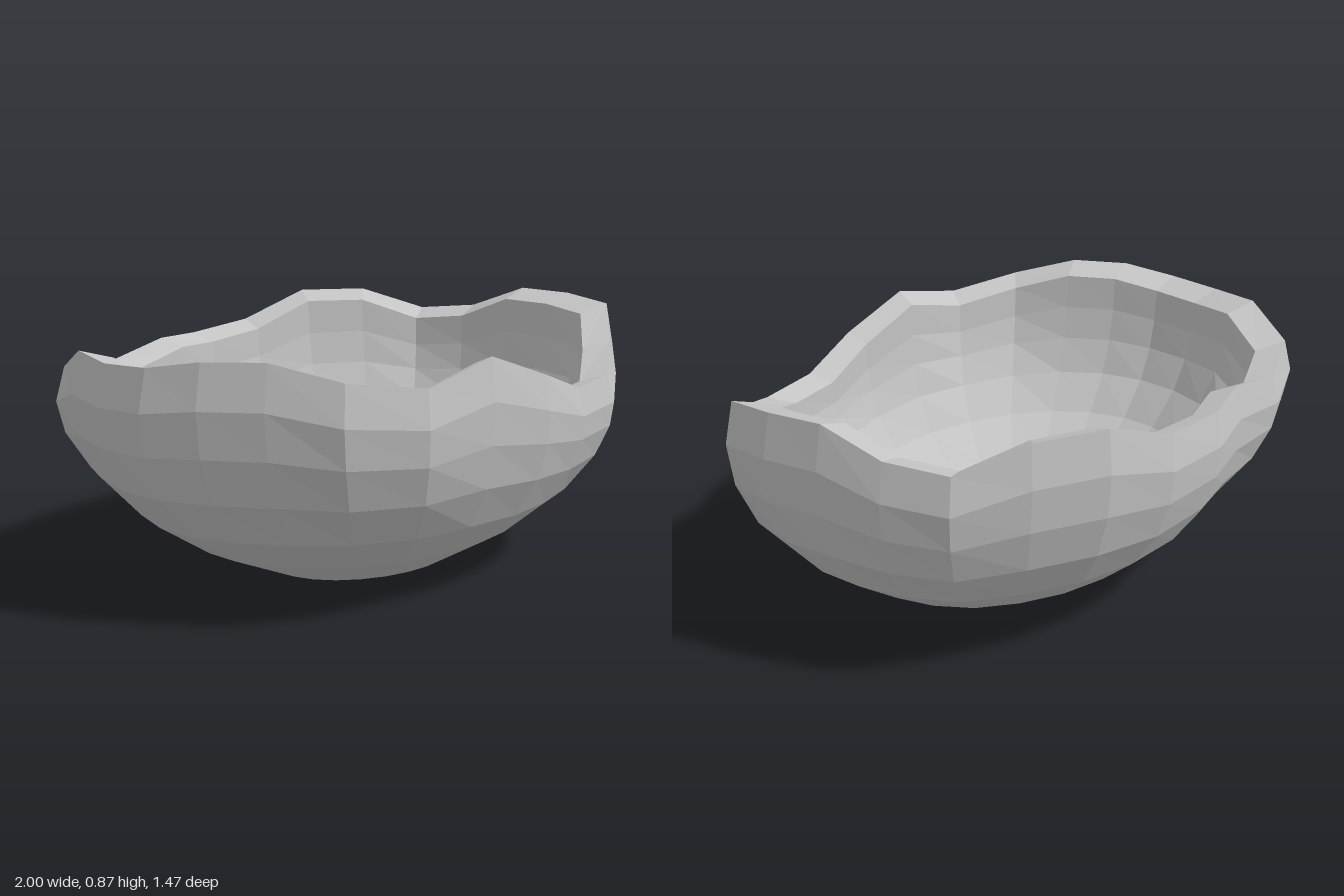
import * as THREE from 'three';

// Plan outline and rim height around the bowl: [x, z, rimY]
const OUTLINE = [
  [0.98, 0.01, 0.865], [1.0, 0.2, 0.845], [0.86, 0.36, 0.74], [0.69, 0.52, 0.665],
  [0.46, 0.61, 0.66], [0.24, 0.68, 0.74], [-0.02, 0.71, 0.83], [-0.29, 0.73, 0.765],
  [-0.55, 0.66, 0.8], [-0.72, 0.5, 0.855], [-0.86, 0.35, 0.85], [-0.96, 0.19, 0.82],
  [-1.0, 0.0, 0.81], [-0.99, -0.2, 0.82], [-0.95, -0.4, 0.735], [-0.74, -0.53, 0.7],
  [-0.47, -0.6, 0.755], [-0.28, -0.69, 0.745], [-0.02, -0.74, 0.765], [0.24, -0.73, 0.855],
  [0.48, -0.65, 0.85], [0.7, -0.54, 0.77], [0.82, -0.36, 0.79], [0.91, -0.17, 0.87],
];

// Rings: [scale, height, how far it follows the rim height, how far it follows the outline]
const OUTER = [
  [0, 0, 0, 0], [0.36, 0.02, 0, 0], [0.64, 0.14, 0, 0.2], [0.82, 0.26, 0.1, 0.4],
  [0.935, 0.4, 0.3, 0.7], [0.988, 0.54, 0.6, 0.9], [1, 0.67, 0.9, 1], [0.97, 0.8, 1, 1],
];
const INNER = [
  [0.86, 0.77, 1, 1], [0.855, 0.66, 0.9, 0.9], [0.835, 0.56, 0.6, 0.75], [0.79, 0.45, 0.3, 0.45],
  [0.69, 0.33, 0.1, 0.2], [0.53, 0.22, 0, 0.1], [0.3, 0.13, 0, 0], [0, 0.115, 0, 0],
];

// Skin a sequence of rings that blend from a smooth ellipse to the uneven outline
function skin(rings) {
  const n = OUTLINE.length;
  const positions = [];
  const index = [];
  for (const [scale, y, follow, uneven] of rings) {
    OUTLINE.forEach(([x, z, rimY], i) => {
      const angle = (i / n) * Math.PI * 2;
      positions.push(
        scale * THREE.MathUtils.lerp(0.97 * Math.cos(angle) + 0.01, x, uneven),
        y * (1 + (rimY / 0.8 - 1) * follow),
        scale * THREE.MathUtils.lerp(0.71 * Math.sin(angle), z, uneven),
      );
    });
  }
  for (let k = 0; k < rings.length - 1; k++) {
    for (let i = 0; i < n; i++) {
      const j = (i + 1) % n;
      const a = k * n + i, b = k * n + j;
      const c = a + n, d = b + n;
      // No collapsed triangles at a centre
      if (rings[k][0] > 0) index.push(a, d, b);
      if (rings[k + 1][0] > 0) index.push(a, c, d);
    }
  }
  const geometry = new THREE.BufferGeometry();
  geometry.setAttribute('position', new THREE.Float32BufferAttribute(positions, 3));
  geometry.setIndex(index);
  geometry.computeVertexNormals();
  return geometry;
}

export function createModel() {
  const stone = new THREE.MeshStandardMaterial({ color: 0xc4c4c4, flatShading: true });
  stone.name = 'light stone grey';

  const bowl = new THREE.Group();
  bowl.name = 'stoneBowl';
  const parts = {
    outerWall: OUTER,
    rim: [OUTER[OUTER.length - 1], INNER[0]],
    innerBasin: INNER,
  };
  for (const [name, rings] of Object.entries(parts)) {
    const mesh = new THREE.Mesh(skin(rings), stone);
    mesh.name = name;
    bowl.add(mesh);
  }
  return bowl;
}
